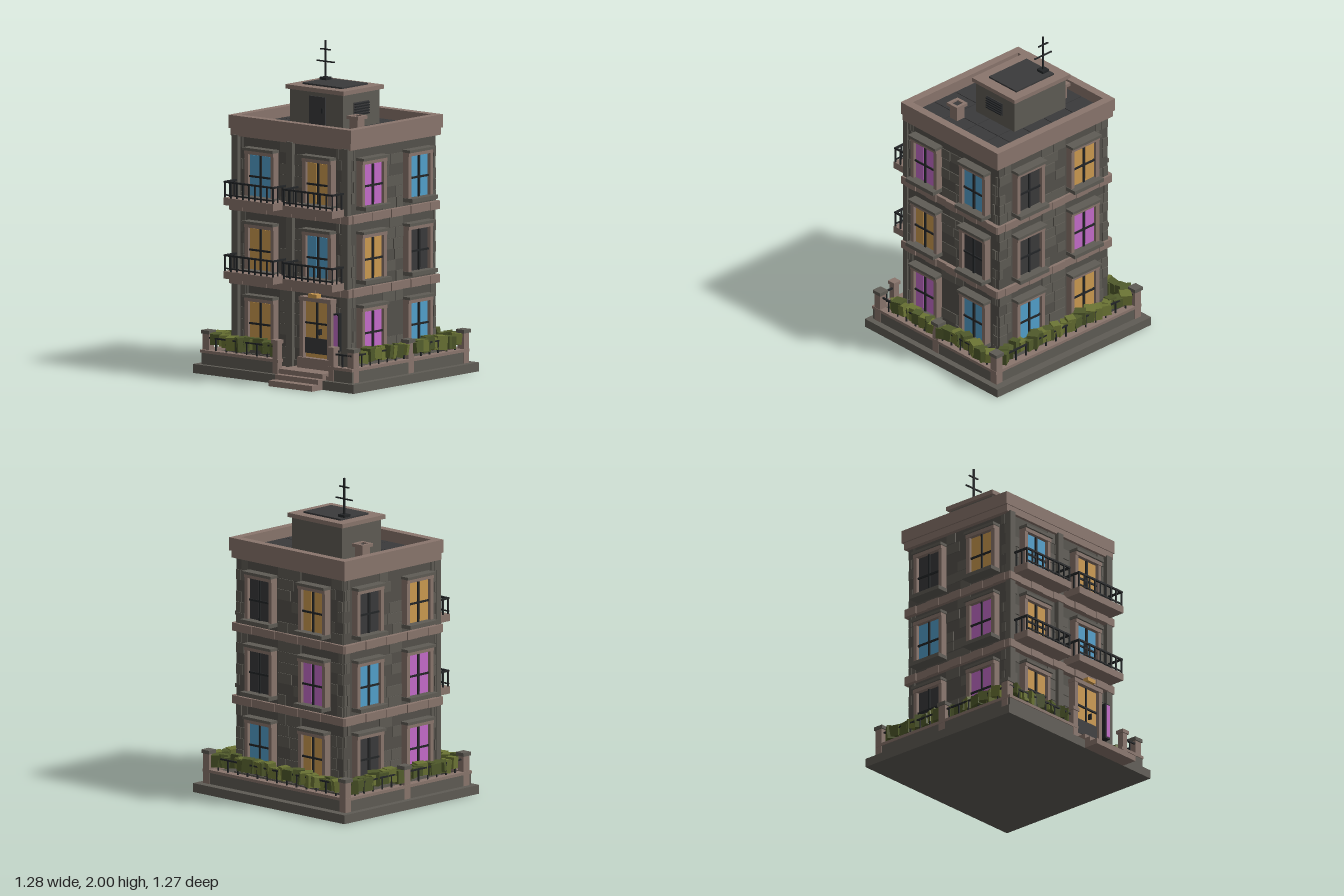
import * as THREE from 'three';

const mat = (name, hex) => new THREE.MeshStandardMaterial({ name, color: hex });

export function createModel() {
  const M = {
    trim: mat('brown stone trim', 0x8a766d), stone: mat('grey stone', 0x5f5c55),
    wall: mat('dark grey wall', 0x54514b), dark: mat('charcoal', 0x3a3a3b),
    metal: mat('black metal', 0x242628), leaf: mat('light leaf', 0x6b7434),
    leafDark: mat('dark leaf', 0x505a2b), orange: mat('amber glass', 0xcc9a50),
    blue: mat('blue glass', 0x52a0cc), purple: mat('purple glass', 0xc46cca),
  };
  const root = new THREE.Group();
  root.name = 'townHouse';
  let seed = 7;
  const rnd = () => (seed = (seed * 16807) % 2147483647) / 2147483647;

  const unit = new THREE.BoxGeometry(1, 1, 1);
  const box = (parent, name, m, x0, x1, y0, y1, z0, z1) => {
    const b = new THREE.Mesh(unit, M[m]);
    b.name = name;
    b.scale.set(x1 - x0, y1 - y0, z1 - z0);
    b.position.set((x0 + x1) / 2, (y0 + y1) / 2, (z0 + z1) / 2);
    parent.add(b);
    return b;
  };
  const group = (name, parent = root) => {
    const g = new THREE.Group();
    g.name = name;
    parent.add(g);
    return g;
  };
  // Four boxes forming a rectangular frame seen from above
  const ring = (parent, name, m, x0, x1, y0, y1, z0, z1, t) => {
    box(parent, name, m, x0, x1, y0, y1, z0, z0 + t);
    box(parent, name, m, x0, x1, y0, y1, z1 - t, z1);
    box(parent, name, m, x0, x0 + t, y0, y1, z0 + t, z1 - t);
    box(parent, name, m, x1 - t, x1, y0, y1, z0 + t, z1 - t);
  };

  // Foundation, yard and entrance steps
  const ground = group('ground');
  box(ground, 'foundation', 'stone', -0.638, 0.638, 0, 0.055, -0.635, 0.535);
  box(ground, 'soil', 'dark', -0.55, 0.55, 0.055, 0.075, -0.54, 0.36);
  box(ground, 'frontPaving', 'trim', -0.55, 0.55, 0.055, 0.08, 0.36, 0.5);
  [[0.635, 0.035], [0.575, 0.065], [0.535, 0.095]].forEach(([z, h]) =>
    box(ground, 'step', 'trim', 0.046, 0.391, 0, h, 0.36, z));

  // Main body with floor bands, pilasters and cornice
  const body = group('body');
  box(body, 'walls', 'wall', -0.45, 0.45, 0.055, 1.5, -0.45, 0.355);
  box(body, 'plinth', 'stone', -0.46, 0.46, 0.055, 0.13, -0.46, 0.365);
  for (const y of [0.55, 1.0]) {
    box(body, 'floorBand', 'trim', -0.473, 0.473, y, y + 0.05, -0.465, 0.39);
    for (let i = 0; i < 5; i++) {
      const x = -0.47 + i * 0.195, z = -0.46 + i * 0.18;
      box(body, 'bandBlock', 'trim', x, x + 0.1, y, y + 0.05, -0.47, 0.395);
      box(body, 'bandBlock', 'trim', -0.479, 0.479, y, y + 0.05, z, z + 0.09);
    }
  }
  for (const x of [-0.437, -0.003, 0.437])
    box(body, 'pilaster', 'stone', x - 0.024, x + 0.024, 0.055, 1.46, 0.35, 0.385);
  box(body, 'lowerCornice', 'trim', -0.478, 0.478, 1.453, 1.497, -0.467, 0.375);
  ring(body, 'parapet', 'trim', -0.488, 0.486, 1.497, 1.578, -0.477, 0.38, 0.052);
  box(body, 'roofDeck', 'dark', -0.44, 0.44, 1.49, 1.51, -0.43, 0.33);
  for (let i = 0; i < 5; i++) for (let j = 0; j < 4; j++)
    box(body, 'roofTile', 'dark', -0.433 + i * 0.174, -0.264 + i * 0.174, 1.51, 1.514,
      -0.422 + j * 0.186, -0.241 + j * 0.186);

  // A window built on a wall: local z points outward
  const addWindow = (parent, x, y, glass) => {
    const g = group('window', parent);
    g.position.set(x, y, 0);
    box(g, 'glass', glass, -0.092, 0.092, 0.015, 0.28, 0, 0.024);
    for (const s of [-1, 1]) {
      box(g, 'jamb', 'trim', s * 0.102 - 0.013, s * 0.102 + 0.013, 0.01, 0.28, 0, 0.045);
      box(g, 'pane', glass, s * 0.047 - 0.03, s * 0.047 + 0.03, 0.03, 0.265, 0.024, 0.027);
    }
    box(g, 'lintel', 'trim', -0.115, 0.115, 0.272, 0.295, 0, 0.05);
    box(g, 'hood', 'stone', -0.12, 0.12, 0.295, 0.312, 0, 0.062);
    box(g, 'sill', 'stone', -0.12, 0.12, -0.008, 0.016, 0, 0.08);
    box(g, 'mullion', 'metal', -0.006, 0.006, 0.016, 0.272, 0.02, 0.034);
    box(g, 'crossbar', 'metal', -0.09, 0.09, 0.13, 0.142, 0.02, 0.034);
  };

  // Stone facing beside the windows
  const addStones = (parent, half) => {
    const bays = [[-half, -0.35], [-0.098, 0.098], [0.35, half]];
    [0.13, 0.6, 1.05].forEach((y0, f) => {
      const h = ([0.55, 1.0, 1.453][f] - y0) / 6;
      for (let r = 0; r < 6; r++) {
        for (const [a, b] of bays) {
          const cut = a + (b - a) * (0.3 + 0.4 * rnd());
          for (const [p, q] of [[a, cut], [cut, b]])
            if (rnd() < 0.65) box(parent, 'facingStone', 'stone', p + 0.002, q - 0.002,
              y0 + r * h + 0.002, y0 + (r + 1) * h - 0.002, 0, 0.003 + 0.005 * rnd());
        }
      }
    });
  };

  // Glass colours by facade, ground floor first, left to right from outside
  const facades = [
    ['frontFacade', 0, 0, 0.355, 0, 0.228, 0.41, [['orange', null], ['orange', 'blue'], ['blue', 'orange']]],
    ['leftFacade', 0.45, -0.045, 0, Math.PI / 2, 0.215, 0.4, [['purple', 'blue'], ['orange', 'dark'], ['purple', 'blue']]],
    ['backFacade', 0, 0, -0.45, Math.PI, 0.225, 0.45, [['blue', 'orange'], ['dark', 'purple'], ['dark', 'orange']]],
    ['rightFacade', -0.45, -0.045, 0, -Math.PI / 2, 0.215, 0.4, [['dark', 'purple'], ['blue', 'purple'], ['dark', 'orange']]],
  ];
  for (const [name, x, zc, zw, turn, off, half, rows] of facades) {
    const g = group(name);
    g.position.set(x, 0, zc + zw);
    g.rotation.y = turn;
    addStones(g, half);
    rows.forEach((row, f) => row.forEach((c, i) => c && addWindow(g, (i * 2 - 1) * off, 0.185 + 0.45 * f, c)));
  }

  // Front door, lamp and narrow lit panel
  const door = group('frontDoor');
  box(door, 'doorstep', 'trim', 0.09, 0.355, 0.08, 0.16, 0.35, 0.42);
  box(door, 'doorGlass', 'orange', 0.125, 0.32, 0.16, 0.505, 0.35, 0.38);
  box(door, 'kickPanel', 'dark', 0.128, 0.318, 0.185, 0.28, 0.38, 0.388);
  for (const x of [0.113, 0.332]) box(door, 'doorJamb', 'trim', x - 0.014, x + 0.014, 0.14, 0.52, 0.35, 0.405);
  box(door, 'doorLintel', 'trim', 0.095, 0.35, 0.505, 0.53, 0.35, 0.41);
  box(door, 'doorMullion', 'metal', 0.217, 0.228, 0.28, 0.505, 0.375, 0.39);
  box(door, 'doorCrossbar', 'metal', 0.128, 0.318, 0.365, 0.376, 0.375, 0.39);
  box(door, 'doorHandle', 'metal', 0.247, 0.256, 0.305, 0.34, 0.375, 0.405);
  box(door, 'lamp', 'orange', 0.19, 0.255, 0.532, 0.556, 0.39, 0.432);
  box(door, 'panelFrame', 'metal', 0.37, 0.412, 0.22, 0.45, 0.36, 0.41);
  box(door, 'litPanel', 'purple', 0.378, 0.404, 0.23, 0.44, 0.41, 0.416);

  // Balconies
  for (const y of [0.595, 1.045]) for (const x of [-0.232, 0.237]) {
    const g = group('balcony');
    g.position.set(x, y, 0);
    const w = 0.197;
    box(g, 'balconySlab', 'trim', -w, w, 0, 0.045, 0.35, 0.498);
    box(g, 'frontRail', 'metal', -w, w, 0.136, 0.147, 0.482, 0.494);
    box(g, 'lowerRail', 'metal', -w, w, 0.058, 0.066, 0.484, 0.492);
    for (const s of [-1, 1]) {
      const sx = s * (w - 0.006);
      box(g, 'sideRail', 'metal', sx - 0.006, sx + 0.006, 0.136, 0.147, 0.36, 0.494);
      for (const z of [0.4, 0.445]) box(g, 'baluster', 'metal', sx - 0.004, sx + 0.004, 0.045, 0.14, z - 0.004, z + 0.004);
    }
    for (let i = 0; i <= 8; i++) {
      const bx = (i / 4 - 1) * (w - 0.006);
      box(g, 'baluster', 'metal', bx - 0.004, bx + 0.004, 0.045, 0.14, 0.484, 0.492);
    }
  }

  // Rooftop stair house
  const hut = group('stairHouse');
  box(hut, 'hutWalls', 'stone', -0.267, 0.155, 1.5, 1.725, -0.272, 0.066);
  box(hut, 'hutCap', 'trim', -0.289, 0.173, 1.724, 1.75, -0.293, 0.084);
  box(hut, 'hutRoof', 'dark', -0.214, 0.1, 1.75, 1.76, -0.23, 0.013);
  box(hut, 'hutDoor', 'dark', -0.108, 0.018, 1.51, 1.697, 0.066, 0.073);
  box(hut, 'hutDoorHandle', 'metal', -0.004, 0.006, 1.6, 1.63, 0.073, 0.084);
  box(hut, 'vent', 'dark', 0.155, 0.16, 1.585, 1.667, -0.172, -0.03);
  for (let i = 0; i < 5; i++)
    box(hut, 'louver', 'metal', 0.158, 0.17, 1.589 + i * 0.016, 1.596 + i * 0.016, -0.168, -0.034);

  // Chimneys
  for (const [x, z] of [[-0.328, -0.158], [0.288, 0.092]]) {
    const g = group('chimney');
    g.position.set(x, 0, z);
    box(g, 'stack', 'trim', -0.032, 0.032, 1.51, 1.597, -0.032, 0.032);
    ring(g, 'chimneyCap', 'trim', -0.045, 0.045, 1.597, 1.617, -0.045, 0.045, 0.02);
    box(g, 'flue', 'dark', -0.026, 0.026, 1.597, 1.608, -0.026, 0.026);
  }

  // Antenna
  const antenna = group('antenna');
  antenna.position.set(-0.182, 0, -0.166);
  box(antenna, 'antennaBase', 'metal', -0.026, 0.026, 1.76, 1.776, -0.026, 0.026);
  box(antenna, 'mast', 'metal', -0.005, 0.005, 1.77, 2, -0.005, 0.005);
  box(antenna, 'longBar', 'metal', -0.07, 0.07, 1.867, 1.875, -0.004, 0.004);
  box(antenna, 'shortBar', 'metal', -0.04, 0.04, 1.941, 1.949, -0.004, 0.004);

  // Garden wall, posts and railings
  const garden = group('gardenWall');
  const wallRun = (x0, x1, z0, z1) => {
    box(garden, 'lowWall', 'stone', x0 - 0.02, x1 + 0.02, 0.055, 0.125, z0 - 0.02, z1 + 0.02);
    box(garden, 'coping', 'trim', x0 - 0.025, x1 + 0.025, 0.125, 0.143, z0 - 0.025, z1 + 0.025);
    box(garden, 'fenceRail', 'metal', x0 - 0.005, x1 + 0.005, 0.213, 0.223, z0 - 0.005, z1 + 0.005);
    const n = Math.round((x1 - x0 + z1 - z0) / 0.08);
    for (let i = 1; i < n; i++) {
      const x = x0 + (x1 - x0) * i / n, z = z0 + (z1 - z0) * i / n;
      box(garden, 'fenceBar', 'metal', x - 0.004, x + 0.004, 0.14, 0.215, z - 0.004, z + 0.004);
    }
  };
  wallRun(-0.578, 0.578, -0.562, -0.562);
  wallRun(-0.578, -0.578, -0.56, 0.467);
  wallRun(0.578, 0.578, -0.56, 0.467);
  wallRun(-0.578, -0.01, 0.485, 0.485);
  wallRun(0.435, 0.578, 0.485, 0.485);
  const post = (x, z, r, cap) => {
    box(garden, 'post', 'trim', x - r, x + r, 0.055, 0.245, z - r, z + r);
    box(garden, 'postCap', cap, x - r - 0.007, x + r + 0.007, 0.24, 0.262, z - r - 0.007, z + r + 0.007);
  };
  for (const x of [-0.576, 0.576]) for (const z of [-0.562, -0.048, 0.465]) post(x, z, 0.025, 'stone');
  post(-0.008, 0.489, 0.02, 'trim');
  post(0.437, 0.489, 0.02, 'trim');

  // Hedges made of tumbled leafy blocks
  const hedge = group('hedge');
  const hedgeRun = (x0, z0, x1, z1, n) => {
    for (let i = 0; i < n; i++) {
      const t = (i + 0.5) / n, s = 0.05 + 0.025 * rnd();
      const b = box(hedge, 'hedgeBlock', rnd() < 0.45 ? 'leaf' : 'leafDark', -s / 2, s / 2, 0, 0.06 + 0.03 * rnd(), -s / 2, s / 2);
      b.position.set(x0 + (x1 - x0) * t + (rnd() - 0.5) * 0.03, 0.195 + 0.02 * rnd(), z0 + (z1 - z0) * t + (rnd() - 0.5) * 0.03);
      b.rotation.set((rnd() - 0.5) * 0.2, rnd() * 1.5, (rnd() - 0.5) * 0.2);
    }
  };
  hedgeRun(-0.52, -0.535, 0.54, -0.535, 24);
  hedgeRun(-0.55, -0.52, -0.55, 0.38, 20);
  hedgeRun(0.56, -0.52, 0.56, 0.38, 20);
  hedgeRun(-0.53, 0.45, -0.03, 0.45, 12);

  return root;
}
